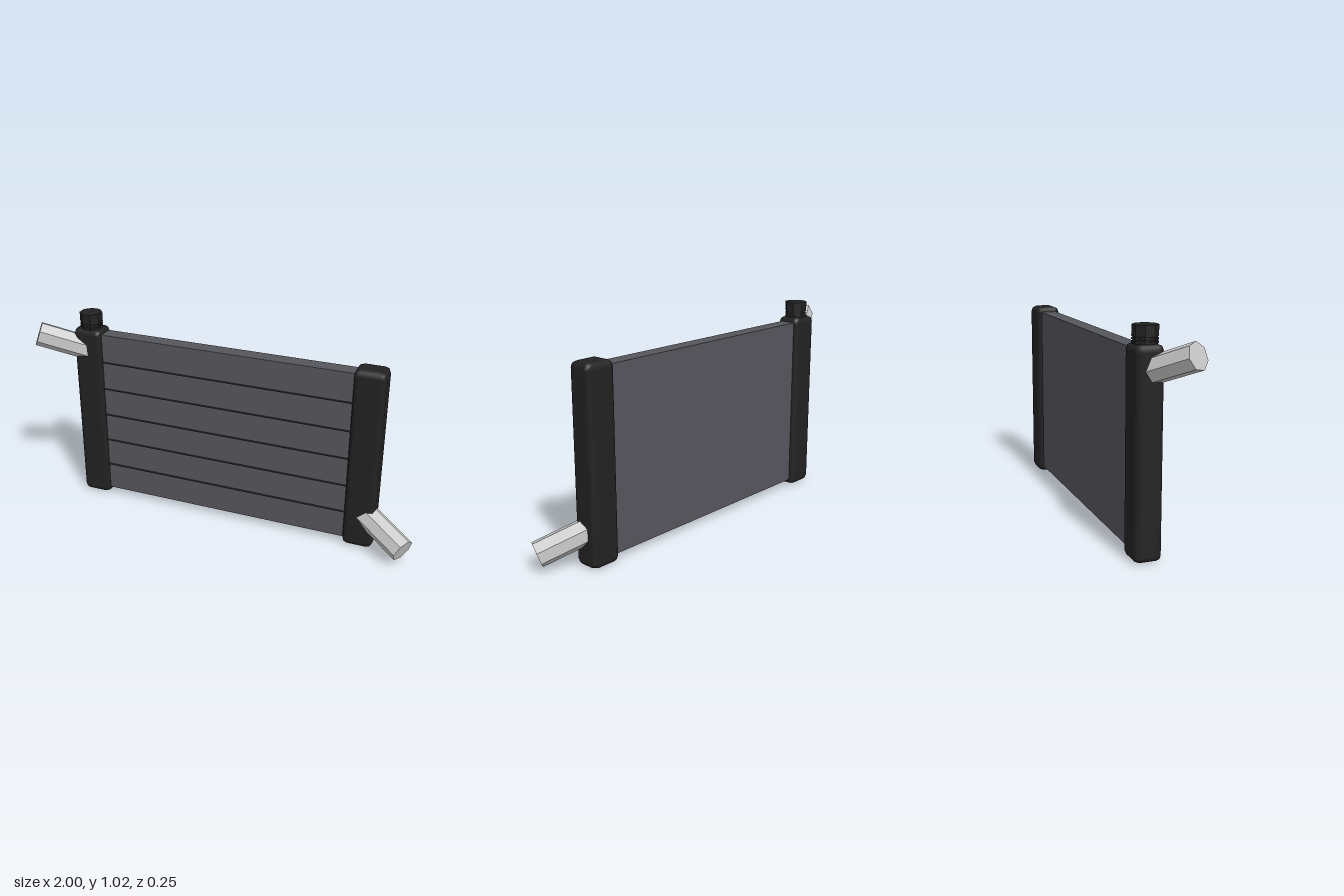
import * as THREE from 'three';
import { RoundedBoxGeometry } from 'three/addons/geometries/RoundedBoxGeometry.js';

const material = (name, color) => {
  const m = new THREE.MeshStandardMaterial({ color });
  m.name = name;
  return m;
};

// Faceted normals, one per face
const faceted = (geometry) => {
  const g = geometry.index ? geometry.toNonIndexed() : geometry;
  g.computeVertexNormals();
  return g;
};

export function createModel() {
  const model = new THREE.Group();
  model.name = 'radiator';
  const black = material('black plastic', 0x222222);
  const grey = material('core grey', 0x55555c);
  const dark = material('fin shadow grey', 0x303034);
  const silver = material('pipe silver', 0xc8c8c8);

  const add = (name, geometry, mat, x, y, z) => {
    const mesh = new THREE.Mesh(geometry, mat);
    mesh.name = name;
    mesh.position.set(x, y, z);
    model.add(mesh);
    return mesh;
  };

  const midZ = -0.062;

  // Core slab between the tanks
  const coreBottom = 0.03, coreHeight = 0.885;
  add('core', new THREE.BoxGeometry(1.34, coreHeight, 0.08), grey, -0.005, coreBottom + coreHeight / 2, midZ);

  // Thin ledges dividing the front of the core into six bands
  for (let i = 1; i < 6; i++) {
    add('coreFin', new THREE.BoxGeometry(1.32, 0.003, 0.012), dark,
      -0.005, coreBottom + (coreHeight * i) / 6, midZ + 0.044);
  }

  // Side tanks with softened edges
  for (const [name, x] of [['rightTank', -0.732], ['leftTank', 0.724]]) {
    add(name, new RoundedBoxGeometry(0.154, 0.94, 0.13, 1, 0.03), black, x, 0.47, midZ);
  }

  // Seven-sided hose pipes, slanting outward and forward
  const addPipe = (name, side, endY) => {
    const end = new THREE.Vector3(side * 0.965, endY, 0.068);
    const reach = new THREE.Vector3(side, -side * 0.42, 0.55).multiplyScalar(0.235);
    const length = reach.length();
    const axis = reach.clone().normalize();
    const up = new THREE.Vector3(0.42, 1, 0).normalize();
    const across = new THREE.Vector3().crossVectors(axis, up);
    const geometry = faceted(new THREE.CylinderGeometry(0.062, 0.062, length, 7));
    const pipe = add(name, geometry, silver, 0, 0, 0);
    pipe.quaternion.setFromRotationMatrix(new THREE.Matrix4().makeBasis(across, axis, up));
    pipe.position.copy(end).addScaledVector(reach, -0.5);
  };
  addPipe('inletPipe', -1, 0.913);
  addPipe('outletPipe', 1, 0.082);

  // Filler neck and octagonal cap with a thin groove
  const disc = (name, radius, bottom, top) => {
    const geometry = faceted(new THREE.CylinderGeometry(radius, radius, top - bottom, 8).rotateY(Math.PI / 8));
    add(name, geometry, black, -0.73, (bottom + top) / 2, midZ + 0.002);
  };
  disc('fillerNeck', 0.052, 0.92, 1.0);
  disc('neckRing', 0.057, 0.938, 0.948);
  disc('neckRing', 0.057, 0.954, 0.962);
  disc('fillerCap', 0.057, 0.968, 1.017);

  return model;
}
